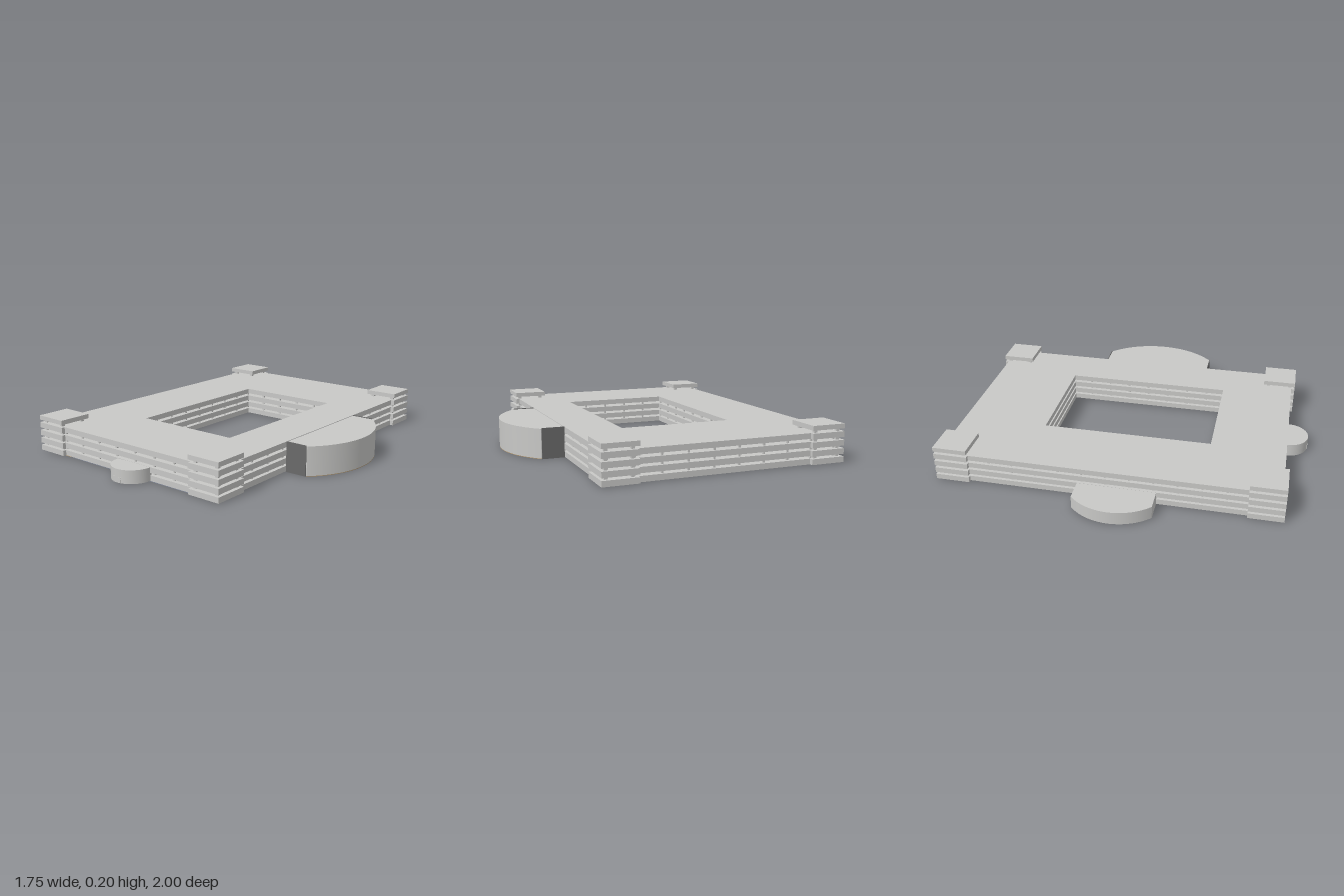
import * as THREE from 'three';

export function createModel() {
  const model = new THREE.Group();
  const mat = (name, color) => {
    const m = new THREE.MeshStandardMaterial({ color });
    m.name = name;
    return m;
  };
  const concrete = mat('light concrete', 0xc8c8c6);
  const darkWall = mat('dark wall', 0x6a6a6a);
  const wood = mat('wood floor', 0xb2976f);
  const carpet = mat('blue grey floor', 0x858c9e);

  const add = (name, geo, material, parent = model) => {
    const mesh = new THREE.Mesh(geo, material);
    mesh.name = name;
    parent.add(mesh);
    return mesh;
  };
  const group = (name) => {
    const g = new THREE.Group();
    g.name = name;
    model.add(g);
    return g;
  };
  // Box given by its limits on each axis
  const block = (name, x0, x1, y0, y1, z0, z1, material, parent) =>
    add(name, new THREE.BoxGeometry(x1 - x0, y1 - y0, z1 - z0), material, parent)
      .position.set((x0 + x1) / 2, (y0 + y1) / 2, (z0 + z1) / 2);
  // Plan outline (shape y = -z) raised from y0 to y1
  const raise = (name, shape, y0, y1, material, parent) => {
    const geo = new THREE.ExtrudeGeometry(shape, { depth: y1 - y0, bevelEnabled: false, curveSegments: 48 });
    geo.rotateX(-Math.PI / 2);
    add(name, geo, material, parent).position.y = y0;
  };
  const rectPath = (Type, x0, x1, z0, z1) => new Type(
    [[x0, -z1], [x1, -z1], [x1, -z0], [x0, -z0]].map(([x, y]) => new THREE.Vector2(x, y)));

  const outer = [-0.67, 0.605, -0.98, 0.88];
  const court = [-0.285, 0.335, -0.49, 0.465];
  const levels = [[0.003, 0.033], [0.046, 0.076], [0.09, 0.12], [0.135, 0.165]];

  // Floor bands around the courtyard
  const bands = group('floorBands');
  const ring = rectPath(THREE.Shape, ...outer);
  ring.holes.push(rectPath(THREE.Path, ...court));
  levels.forEach(([y0, y1]) => raise('floorBand', ring, y0, y1, concrete, bands));

  // Slim posts between the bands, set back from both edges
  const posts = group('windowPosts');
  const post = (x, z, top, r = 0.005) =>
    block('post', x - r, x + r, 0.02, top, z - r, z + r, concrete, posts);
  const postRow = ([x0, x1, z0, z1], inset) => {
    const a = x0 + inset, b = x1 - inset, c = z0 + inset, d = z1 - inset;
    const nx = Math.round((b - a) / 0.13), nz = Math.round((d - c) / 0.13);
    for (let i = 0; i <= nx; i++) for (const z of [c, d]) post(a + (b - a) * i / nx, z, 0.15);
    for (let i = 1; i < nz; i++) for (const x of [a, b]) post(x, c + (d - c) * i / nz, 0.15);
  };
  postRow(outer, 0.02);
  postRow(court, -0.02);

  // Corner towers with a raised roof slab
  for (const [x0, x1] of [[-0.69, -0.5], [0.435, 0.625]]) {
    for (const [z0, z1] of [[-1, -0.81], [0.71, 0.9]]) {
      const tower = group('cornerTower');
      for (const [y0, y1] of [...levels, [0.18, 0.205]])
        block('towerBand', x0, x1, y0, y1, z0, z1, concrete, tower);
      for (const x of [x0 + 0.028, x1 - 0.028])
        for (const z of [z0 + 0.028, z1 - 0.028]) post(x, z, 0.19, 0.009);
    }
  }

  // Large curved hall on the left
  const hall = group('curvedHall');
  const half = Math.asin(0.333 / 0.459);
  const hallPlan = new THREE.Shape();
  hallPlan.moveTo(0.6, -0.333 + 0.005);
  hallPlan.lineTo(0.725, -0.333 + 0.005);
  hallPlan.absarc(0.415, 0.005, 0.459, -half, half, false);
  hallPlan.lineTo(0.6, 0.338);
  hallPlan.closePath();
  raise('hallBody', hallPlan, 0.003, 0.162, concrete, hall);
  raise('hallFloor', hallPlan, 0, 0.003, wood, hall);
  block('hallSideWall', 0.605, 0.727, 0, 0.166, 0.328, 0.332, darkWall, hall);
  block('hallSideWall', 0.605, 0.727, 0, 0.166, -0.342, -0.338, darkWall, hall);

  // Low curved bay on the right
  const bay = new THREE.Shape();
  const bayHalf = Math.asin(0.215 / 0.302);
  bay.moveTo(-0.66, 0.2);
  bay.lineTo(-0.79, 0.2);
  bay.absarc(-0.578, -0.015, 0.302, Math.PI - bayHalf, Math.PI + bayHalf, false);
  bay.lineTo(-0.66, -0.23);
  bay.closePath();
  raise('sideBay', bay, 0.003, 0.075, concrete);

  // Half-round entrance at the front
  const porch = new THREE.Shape();
  porch.moveTo(-0.07, -0.87);
  porch.absarc(0.045, -0.885, 0.115, Math.PI, Math.PI * 2, false);
  porch.lineTo(0.16, -0.87);
  porch.closePath();
  raise('entrance', porch, 0.003, 0.075, concrete);
  block('entranceDoor', 0.02, 0.07, 0.003, 0.033, 0.994, 1, concrete);

  // Room floors under the front wing: x0, x1, z0, z1
  const floors = group('roomFloors');
  [
    [0.43, 0.6, 0.52, 0.88, wood], [0.12, 0.43, 0.64, 0.88, carpet],
    [0.17, 0.4, 0.53, 0.63, wood], [-0.43, -0.12, 0.64, 0.88, carpet],
    [-0.38, -0.14, 0.53, 0.63, wood], [-0.66, -0.46, 0.67, 0.88, wood],
    [-0.66, -0.46, 0.48, 0.66, carpet],
  ].forEach(([x0, x1, z0, z1, m]) => block('roomFloor', x0, x1, 0, 0.004, z0, z1, m, floors));

  return model;
}
